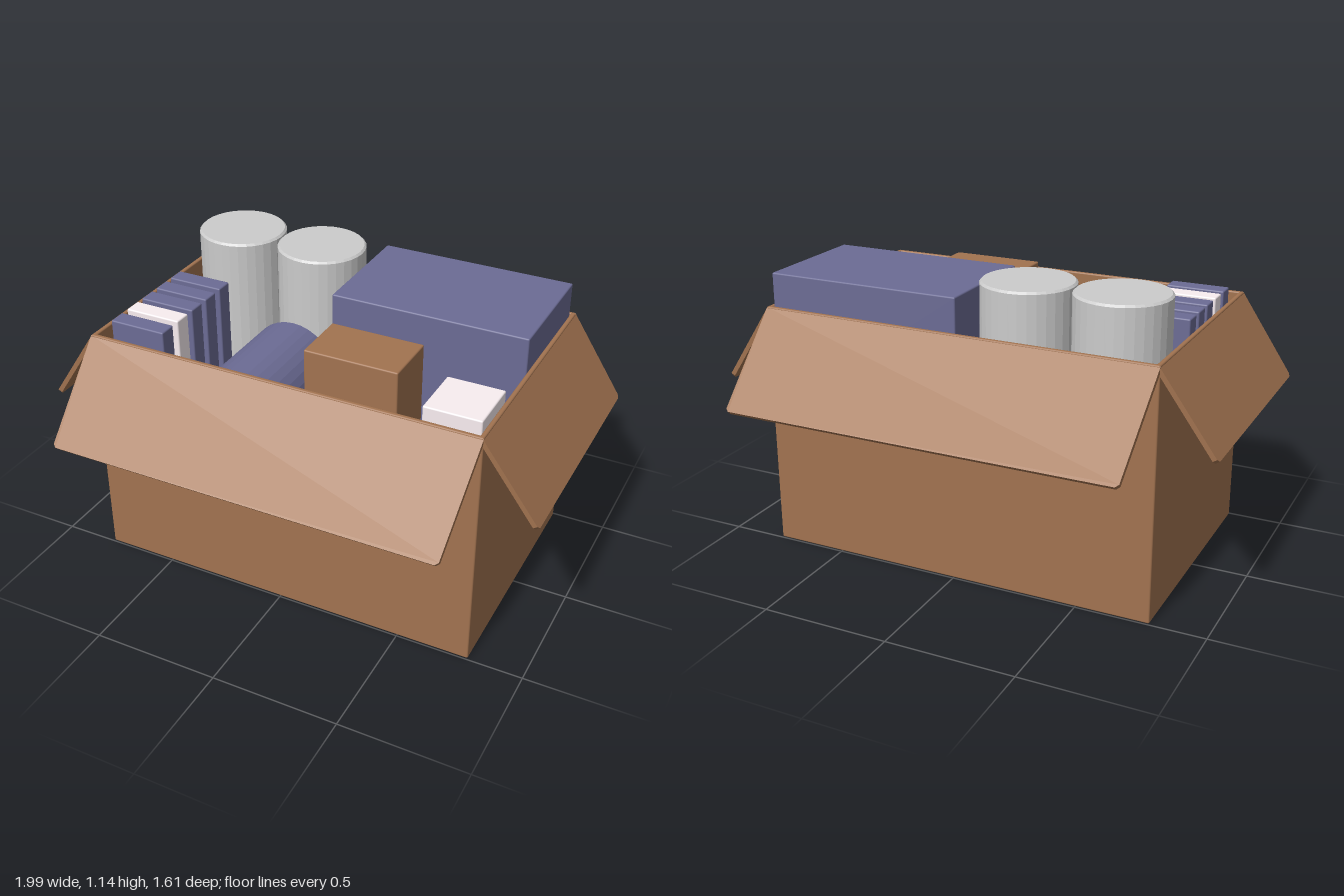
import * as THREE from 'three';
import { RoundedBoxGeometry } from 'three/addons/geometries/RoundedBoxGeometry.js';

const mat = (color, flatShading = false) => new THREE.MeshStandardMaterial({ color, flatShading });
const cardboard = mat(0xa27350);
const blue = mat(0x6c6c95);
const blueFlat = mat(0x6c6c95, true);
const white = mat(0xf9eef1);
const grey = mat(0xcccccc, true);

export function createModel() {
  const model = new THREE.Group();
  const add = (parent, name, geometry, material) => {
    const mesh = new THREE.Mesh(geometry, material);
    mesh.name = name;
    parent.add(mesh);
    return mesh;
  };

  // Softened box given by its min and max on each axis
  const block = (parent, name, material, [x0, x1], [y0, y1], [z0, z1]) => {
    const g = new RoundedBoxGeometry(x1 - x0, y1 - y0, z1 - z0, 2, 0.006);
    const mesh = add(parent, name, g, material);
    mesh.position.set((x0 + x1) / 2, (y0 + y1) / 2, (z0 + z1) / 2);
    return mesh;
  };

  // Carton: four walls and a floor
  const W = 0.785, D = 0.495, H = 0.97, T = 0.018;
  const carton = new THREE.Group();
  carton.name = 'carton';
  model.add(carton);
  for (const s of [-1, 1]) {
    const span = (a, b) => [Math.min(s * a, s * b), Math.max(s * a, s * b)];
    block(carton, s > 0 ? 'frontWall' : 'backWall', cardboard, [-W, W], [0, H], span(D - T, D));
    block(carton, s > 0 ? 'leftWall' : 'rightWall', cardboard, span(W - T, W), [0, H], [-D, D]);
  }
  block(carton, 'floor', cardboard, [-W, W], [0, 0.02], [-D, D]);

  // Flaps: slightly tapered sheets folded outward and down
  const flap = (name, turn, hinge, width, run) => {
    const drop = 0.31, len = Math.hypot(run, drop), end = width - 0.017, r = 0.012;
    const shape = new THREE.Shape();
    shape.moveTo(-width, 0);
    shape.lineTo(width, 0);
    shape.lineTo(end, len - r);
    shape.lineTo(end - r, len);
    shape.lineTo(-end + r, len);
    shape.lineTo(-end, len - r);
    shape.closePath();
    const pivot = new THREE.Group();
    pivot.name = name;
    pivot.rotation.y = turn;
    carton.add(pivot);
    const g = new THREE.ExtrudeGeometry(shape, { depth: 0.018, bevelEnabled: false });
    const sheet = add(pivot, name + 'Sheet', g, cardboard);
    sheet.position.set(0, H - 0.003, hinge);
    sheet.rotation.x = Math.PI / 2 + Math.atan2(drop, run);
  };
  flap('frontFlap', 0, D - 0.003, W, 0.315);
  flap('leftFlap', Math.PI / 2, W - 0.003, D, 0.215);
  flap('backFlap', Math.PI, D - 0.003, W, 0.315);
  flap('rightFlap', -Math.PI / 2, W - 0.003, D, 0.215);

  // Contents: a bottom layer carries the rest
  const base = 0.55;
  const contents = new THREE.Group();
  contents.name = 'contents';
  model.add(contents);
  block(contents, 'bottomLayer', blue, [-0.745, 0.765], [0.02, base], [-0.475, 0.415]);
  block(contents, 'largeBlueBox', blue, [-0.012, 0.765], [base, 1.1], [-0.475, 0.02]);
  block(contents, 'smallBrownBox', cardboard, [0.035, 0.405], [base, 1.035], [0.11, 0.34]);
  block(contents, 'smallWhiteBox', white, [0.5, 0.725], [base, 0.93], [0.11, 0.34]);

  // Row of upright books
  [-0.062, 0.04, 0.14, 0.24, 0.343].forEach((z, i) => {
    block(contents, 'book' + (i + 1), i === 3 ? white : blue, [-0.745, -0.515], [base, 1.003], [z, z + 0.072]);
  });

  // Cylinder with a small chamfer at each end
  const drum = (name, material, r, h) => {
    const c = 0.008;
    const profile = [[0, 0], [r - c, 0], [r, c], [r, h - c], [r - c, h], [0, h]];
    const g = new THREE.LatheGeometry(profile.map(([x, y]) => new THREE.Vector2(x, y)), 32);
    return add(contents, name, g, material);
  };
  drum('rightCan', grey, 0.177, 1.143 - base).position.set(-0.57, base, -0.283);
  drum('leftCan', grey, 0.177, 1.143 - base).position.set(-0.21, base, -0.283);
  const roll = drum('lyingRoll', blueFlat, 0.178, 0.44);
  roll.rotation.x = Math.PI / 2;
  roll.position.set(-0.21, base + 0.178, -0.04);

  return model;
}
